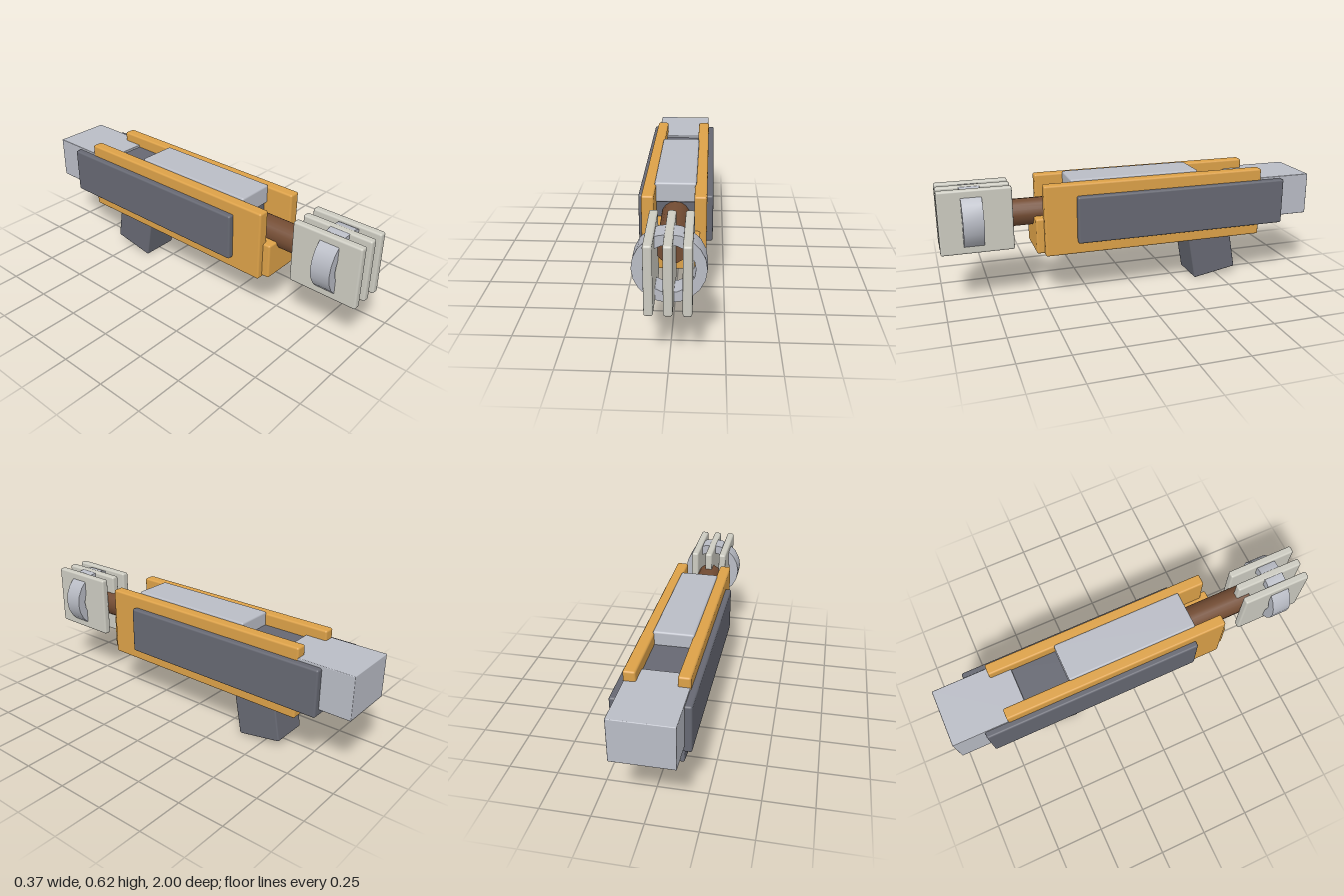
import * as THREE from 'three';
import { RoundedBoxGeometry } from 'three/addons/geometries/RoundedBoxGeometry.js';
import { toCreasedNormals } from 'three/addons/utils/BufferGeometryUtils.js';

const paint = (color) => new THREE.MeshStandardMaterial({ color });

export function createModel() {
  const model = new THREE.Group();
  const orange = paint(0xdca148);
  const dark = paint(0x666872);
  const silver = paint(0xb9bcc5);
  const ivory = paint(0xcccbc1);
  const brown = paint(0x734c33);

  const add = (name, geometry, material, x, y, z) => {
    const mesh = new THREE.Mesh(geometry, material);
    mesh.name = name;
    mesh.position.set(x, y, z);
    model.add(mesh);
    return mesh;
  };

  // Soft-edged box given by its [min, max] range on each axis
  const box = (name, material, [x0, x1], [y0, y1], [z0, z1], radius = 0.01) =>
    add(name, new RoundedBoxGeometry(x1 - x0, y1 - y0, z1 - z0, 2, radius), material,
      (x0 + x1) / 2, (y0 + y1) / 2, (z0 + z1) / 2);

  // Body, sliding cover and rear stock
  box('body', dark, [-0.185, 0.185], [0.307, 0.553], [-0.835, 0.32]);
  box('topSlide', silver, [-0.102, 0.102], [0.523, 0.625], [-0.357, 0.337]);
  box('stock', silver, [-0.152, 0.152], [0.34, 0.565], [-1, -0.597], 0.004);

  // Side plates and the block between them
  for (const [name, s] of [['leftPlate', 1], ['rightPlate', -1]]) {
    const xs = [s * 0.095, s * 0.155].sort((a, b) => a - b);
    box(name, orange, xs, [0.245, 0.615], [-0.71, 0.485]);
  }
  box('lowerBlock', orange, [-0.124, 0.124], [0.255, 0.44], [-0.15, 0.525]);

  // Raked grip
  const grip = add('grip', new RoundedBoxGeometry(0.205, 0.35, 0.244, 2, 0.008), dark, 0, 0.196, -0.449);
  grip.rotation.x = 0.175;

  // Barrel
  const barrel = new THREE.CylinderGeometry(0.07, 0.07, 0.45, 16).rotateX(Math.PI / 2);
  add('barrel', barrel, brown, 0, 0.451, 0.48);

  // Muzzle ring with three upright fins
  const profile = [[0.114, -0.051], [0.163, -0.051], [0.163, 0.051], [0.114, 0.051], [0.114, -0.051]]
    .map(([r, h]) => new THREE.Vector2(r, h));
  const ring = toCreasedNormals(new THREE.LatheGeometry(profile, 20), 0.6).rotateX(Math.PI / 2);
  add('muzzleRing', ring, silver, 0, 0.451, 0.834);
  for (const x of [-0.082, 0, 0.082]) {
    box('muzzleFin', ivory, [x - 0.02, x + 0.02], [0.287, 0.615], [0.633, 1]);
  }

  return model;
}
